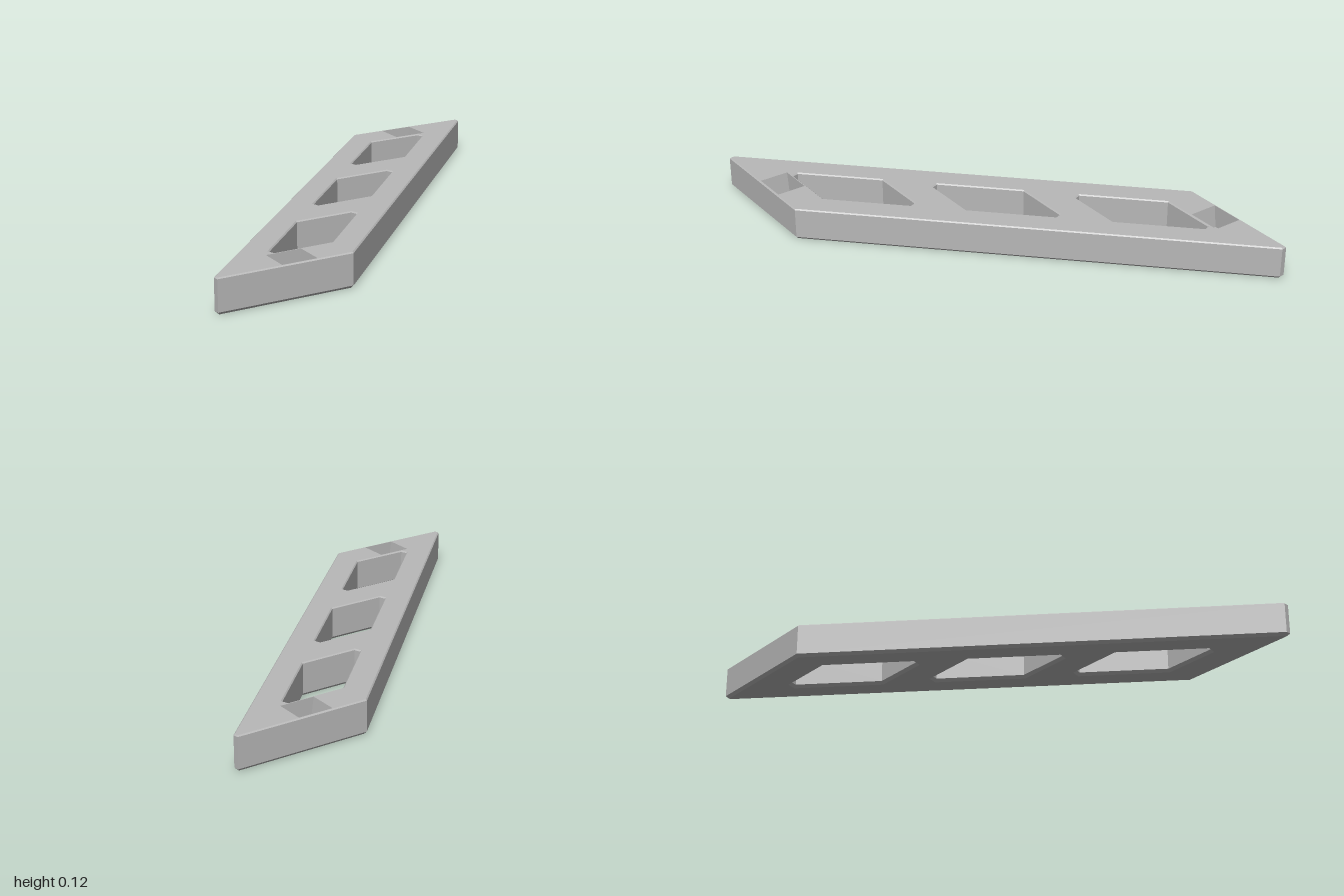
import * as THREE from 'three';

const HEIGHT = 0.12;
// Contours are counter-clockwise [x, -z] points; half is given, the rest by half-turn symmetry.
const halfTurn = (half) => [...half, ...half.map(([x, s]) => [-x, -s])];
const shift = (pts, ds) => pts.map(([x, s]) => [x, s + ds]);

// Move every edge of a contour inwards by d (outwards when negative).
function inset(pts, d) {
  const n = pts.length;
  const normal = (a, b) => {
    const dx = b[0] - a[0], ds = b[1] - a[1], l = Math.hypot(dx, ds);
    return [-ds / l, dx / l];
  };
  return pts.map((p, i) => {
    const a = normal(pts[(i + n - 1) % n], p), b = normal(p, pts[(i + 1) % n]);
    const k = d / (1 + a[0] * b[0] + a[1] * b[1]);
    return [p[0] + k * (a[0] + b[0]), p[1] + k * (a[1] + b[1])];
  });
}

// Flat-faced wall through stacked rings [{ y, pts }]; inward flips it for openings.
function wall(rings, inward = false) {
  const pos = [];
  for (let r = 0; r + 1 < rings.length; r++) {
    const lo = rings[r], hi = rings[r + 1], n = lo.pts.length;
    const at = (ring, i) => [ring.pts[i % n][0], ring.y, -ring.pts[i % n][1]];
    for (let i = 0; i < n; i++) {
      const a = at(lo, i), b = at(lo, i + 1), c = at(hi, i + 1), d = at(hi, i);
      const quad = inward ? [a, c, b, a, d, c] : [a, b, c, a, c, d];
      quad.forEach((v) => pos.push(...v));
    }
  }
  const g = new THREE.BufferGeometry();
  g.setAttribute('position', new THREE.Float32BufferAttribute(pos, 3));
  g.computeVertexNormals();
  return g;
}

// Horizontal face with openings, looking up or down.
function cap(outline, holes, y, up = true) {
  const sign = up ? 1 : -1;
  const toVec = (pts) => pts.map(([x, s]) => new THREE.Vector2(x, sign * s));
  const shape = new THREE.Shape(toVec(outline));
  holes.forEach((h) => shape.holes.push(new THREE.Path(toVec(h))));
  const g = new THREE.ShapeGeometry(shape);
  g.rotateX(-sign * Math.PI / 2);
  return g.translate(0, y, 0);
}

export function createModel() {
  const group = new THREE.Group();
  group.name = 'slantedFrameBar';
  const grey = new THREE.MeshStandardMaterial({ color: 0xb8b8b8 });
  grey.name = 'light grey';
  const add = (name, geometry) => {
    const mesh = new THREE.Mesh(geometry, grey);
    mesh.name = name;
    group.add(mesh);
  };

  // Wide chamfer at the bottom, fine chamfer at the top
  const levels = [[0, 0.01], [0.01, 0], [HEIGHT - 0.004, 0], [HEIGHT, 0.004]];
  const rings = (pts, sign) => levels.map(([y, d]) => ({ y, pts: inset(pts, sign * d) }));

  // Outer sides with clipped sharp tips
  const outer = rings(halfTurn([[-0.173, -0.988], [-0.158, -1], [0.173, -0.67]]), 1);
  add('outerSides', wall(outer));

  // Three slanted windows
  const windowShape = halfTurn([[-0.083, -0.222], [-0.062, -0.232], [0.083, -0.087]]);
  const windows = [-0.505, 0, 0.505].map((ds) => rings(shift(windowShape, ds), -1));
  windows.forEach((w, i) => add('windowSides' + (i + 1), wall(w, true)));

  // A tapered pocket at each end; u runs across the bar end, t along it
  const corner = (u, t) => [(u + t) / 2, -(u - t) / 2];
  const pocket = (taper) => [
    corner(0.834, -0.846), corner(0.834, -0.672), corner(0.685, -0.672), corner(0.685, -0.846),
  ].map(([x, s], i) => {
    const k = (i === 0 || i === 3 ? 1 : -1) * taper;
    return [x + k, s + k];
  });
  const floorY = 0.04;
  const turned = (pts) => pts.map(([x, s]) => [-x, -s]);
  const pocketTops = [pocket(0), turned(pocket(0))];
  const pocketFloors = [pocket(0.008), turned(pocket(0.008))];
  ['front', 'back'].forEach((end, i) => {
    add(end + 'PocketSides', wall([
      { y: floorY, pts: pocketFloors[i] }, { y: HEIGHT, pts: pocketTops[i] },
    ], true));
    add(end + 'PocketFloor', cap(pocketFloors[i], [], floorY));
  });

  // Top and bottom faces
  add('topFace', cap(outer[3].pts, [...windows.map((w) => w[3].pts), ...pocketTops], HEIGHT));
  add('bottomFace', cap(outer[0].pts, windows.map((w) => w[0].pts), 0, false));
  return group;
}
